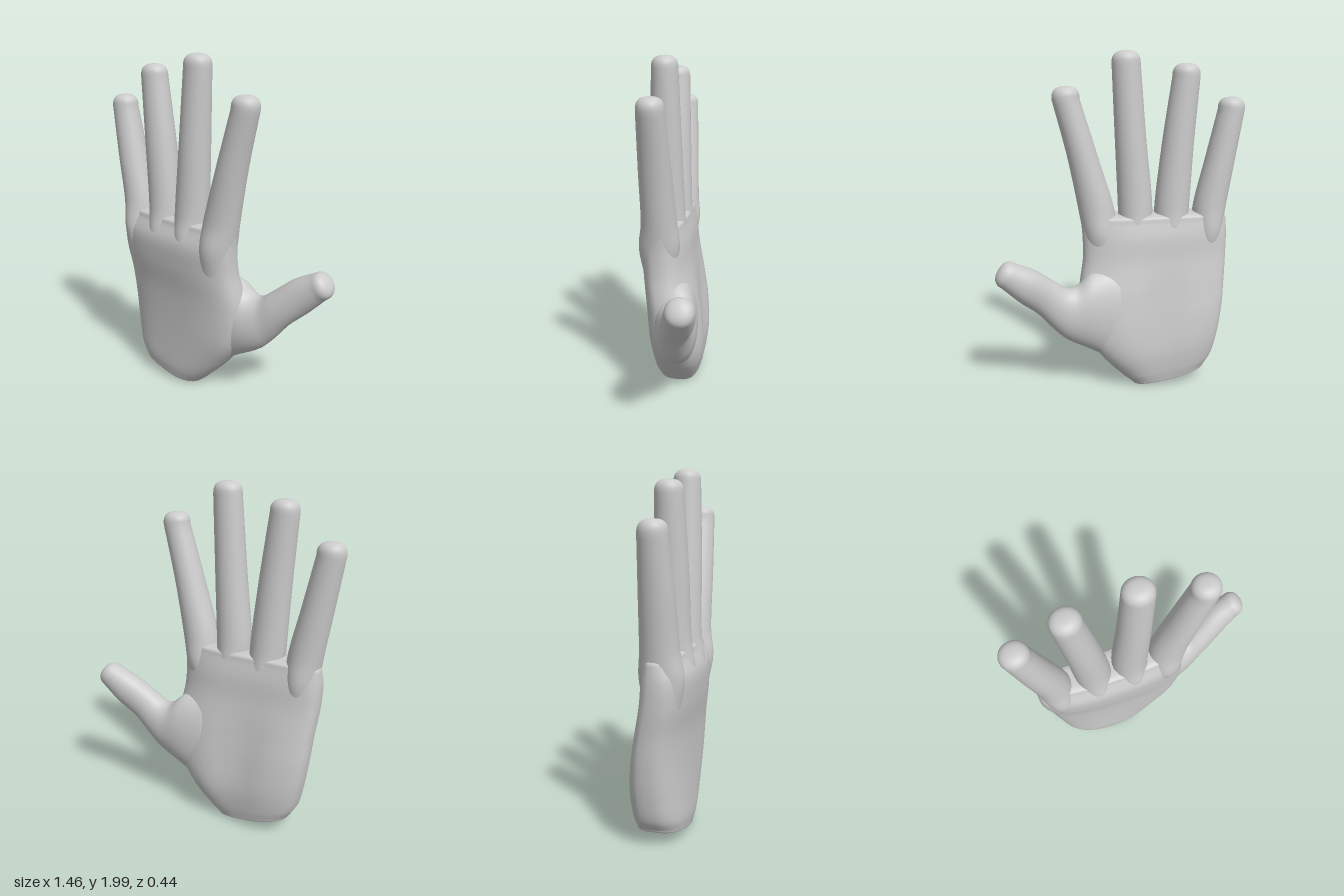
import * as THREE from 'three';

const SIDES = 40;
const material = new THREE.MeshStandardMaterial({ color: 0xcccccc });

// Skin lofted through sections [leftX, leftY, rightX, rightY, zMin, zMax],
// listed along the direction of growth; both ends get a rounded cap.
function loft(name, sections, { steps = 40, power = 1, startCap = 0.02, endCap = 0.06, capPower = 0.8, deform } = {}) {
  const left = new THREE.CatmullRomCurve3(sections.map(s => new THREE.Vector3(s[0], s[1], s[4])));
  const right = new THREE.CatmullRomCurve3(sections.map(s => new THREE.Vector3(s[2], s[3], s[5])));
  const positions = [], index = [];
  const squash = v => Math.sign(v) * Math.abs(v) ** power;

  function addRing(t, scale, shift) {
    const a = left.getPoint(t), b = right.getPoint(t);
    const ux = (b.x - a.x) / 2, uy = (b.y - a.y) / 2, len = Math.hypot(ux, uy);
    const cx = (a.x + b.x) / 2 - uy / len * shift;
    const cy = (a.y + b.y) / 2 + ux / len * shift;
    const cz = (a.z + b.z) / 2, depth = (b.z - a.z) / 2;
    const count = scale > 0 ? SIDES : 1;
    for (let i = 0; i < count; i++) {
      const angle = i / SIDES * Math.PI * 2;
      const c = squash(Math.cos(angle)) * scale, s = squash(Math.sin(angle)) * scale;
      const p = new THREE.Vector3(cx + ux * c, cy + uy * c, cz + depth * s);
      if (deform) deform(p);
      positions.push(p.x, p.y, p.z);
    }
  }

  const CAP = 8;
  const capRing = (t, k, height) => {
    const a = k / CAP * Math.PI / 2;
    addRing(t, k === CAP ? 0 : Math.cos(a) ** capPower, height * Math.sin(a) ** capPower);
  };
  for (let k = CAP; k > 0; k--) capRing(0, k, -startCap);
  for (let i = 0; i <= steps; i++) addRing(i / steps, 1, 0);
  for (let k = 1; k <= CAP; k++) capRing(1, k, endCap);

  // Pole fans at both ends, quads between the rings
  const last = positions.length / 3 - 1, rings = (last - 1) / SIDES;
  for (let i = 0; i < SIDES; i++) {
    const j = (i + 1) % SIDES;
    index.push(0, 1 + i, 1 + j);
    for (let r = 0; r < rings - 1; r++) {
      const p = 1 + r * SIDES, q = p + SIDES;
      index.push(p + i, q + i, p + j, p + j, q + i, q + j);
    }
    const e = 1 + (rings - 1) * SIDES;
    index.push(e + i, last, e + j);
  }
  const geometry = new THREE.BufferGeometry();
  geometry.setAttribute('position', new THREE.Float32BufferAttribute(positions, 3));
  geometry.setIndex(index);
  geometry.computeVertexNormals();
  const mesh = new THREE.Mesh(geometry, material);
  mesh.name = name;
  return mesh;
}

// Finger: x edges at the root, the knuckle, the middle and below the tip
function finger(name, root, knuckle, middle, tip, tipY) {
  const midY = (1.1 + tipY) / 2;
  return loft(name, [
    [root[0], 0.78, root[1], 0.78, 0.0, 0.175],
    [(root[0] + knuckle[0]) / 2, 0.95, (root[1] + knuckle[1]) / 2, 0.95, -0.035, 0.2],
    [knuckle[0], 1.1, knuckle[1], 1.1, -0.025, 0.18],
    [middle[0], midY, middle[1], midY, -0.01, 0.17],
    [tip[0], tipY, tip[1], tipY, 0.005, 0.155],
  ], { endCap: 0.07, capPower: 0.75 });
}

// Palm: thinner heel on the little-finger side, hollow between the two pads
function shapePalm(p) {
  if (p.z > 0) return;
  const side = THREE.MathUtils.smoothstep(-p.x, 0, 0.6);
  p.z *= 1 - 0.25 * side;
  const dx = (p.x + 0.22 + (p.y - 0.4) * 0.15) / 0.13, dy = (p.y - 0.4) / 0.34;
  p.z += 0.045 * Math.exp(-dx * dx - dy * dy) * Math.min(1, -p.z / 0.1);
}

export function createModel() {
  const hand = new THREE.Group();
  hand.name = 'hand';

  hand.add(loft('palm', [
    [-0.52, 0.115, -0.06, 0.02, -0.13, 0.17],
    [-0.56, 0.18, 0.01, 0.085, -0.15, 0.18],
    [-0.595, 0.32, 0.12, 0.205, -0.172, 0.18],
    [-0.62, 0.5, 0.22, 0.36, -0.16, 0.18],
    [-0.632, 0.66, 0.25, 0.6, -0.12, 0.187],
    [-0.645, 0.82, 0.222, 0.8, -0.075, 0.207],
    [-0.648, 0.95, 0.22, 0.94, -0.055, 0.207],
    [-0.64, 1.04, 0.228, 1.04, -0.03, 0.17],
  ], { steps: 60, power: 0.75, startCap: 0.02, endCap: 0.035, capPower: 0.6, deform: shapePalm }));

  hand.add(
    finger('littleFinger', [-0.6, -0.43], [-0.64, -0.445], [-0.685, -0.51], [-0.73, -0.575], 1.67),
    finger('ringFinger', [-0.39, -0.21], [-0.415, -0.21], [-0.435, -0.25], [-0.462, -0.303], 1.86),
    finger('middleFinger', [-0.18, 0.0], [-0.195, 0.008], [-0.155, 0.025], [-0.12, 0.042], 1.93),
    finger('indexFinger', [-0.01, 0.19], [0.03, 0.24], [0.125, 0.3], [0.222, 0.378], 1.74),
  );

  // Thumb: broad root buried in the palm, forming the web below the index finger
  hand.add(loft('thumb', [
    [0.02, 0.76, 0.02, 0.16, -0.13, 0.11],
    [0.18, 0.745, 0.19, 0.265, -0.15, 0.1],
    [0.265, 0.675, 0.34, 0.355, -0.15, 0.06],
    [0.32, 0.67, 0.42, 0.44, -0.155, 0.03],
    [0.39, 0.72, 0.5, 0.54, -0.17, 0.005],
    [0.5, 0.81, 0.6, 0.635, -0.21, -0.035],
    [0.61, 0.868, 0.695, 0.735, -0.225, -0.07],
  ], { endCap: 0.065, power: 0.95 }));

  return hand;
}
